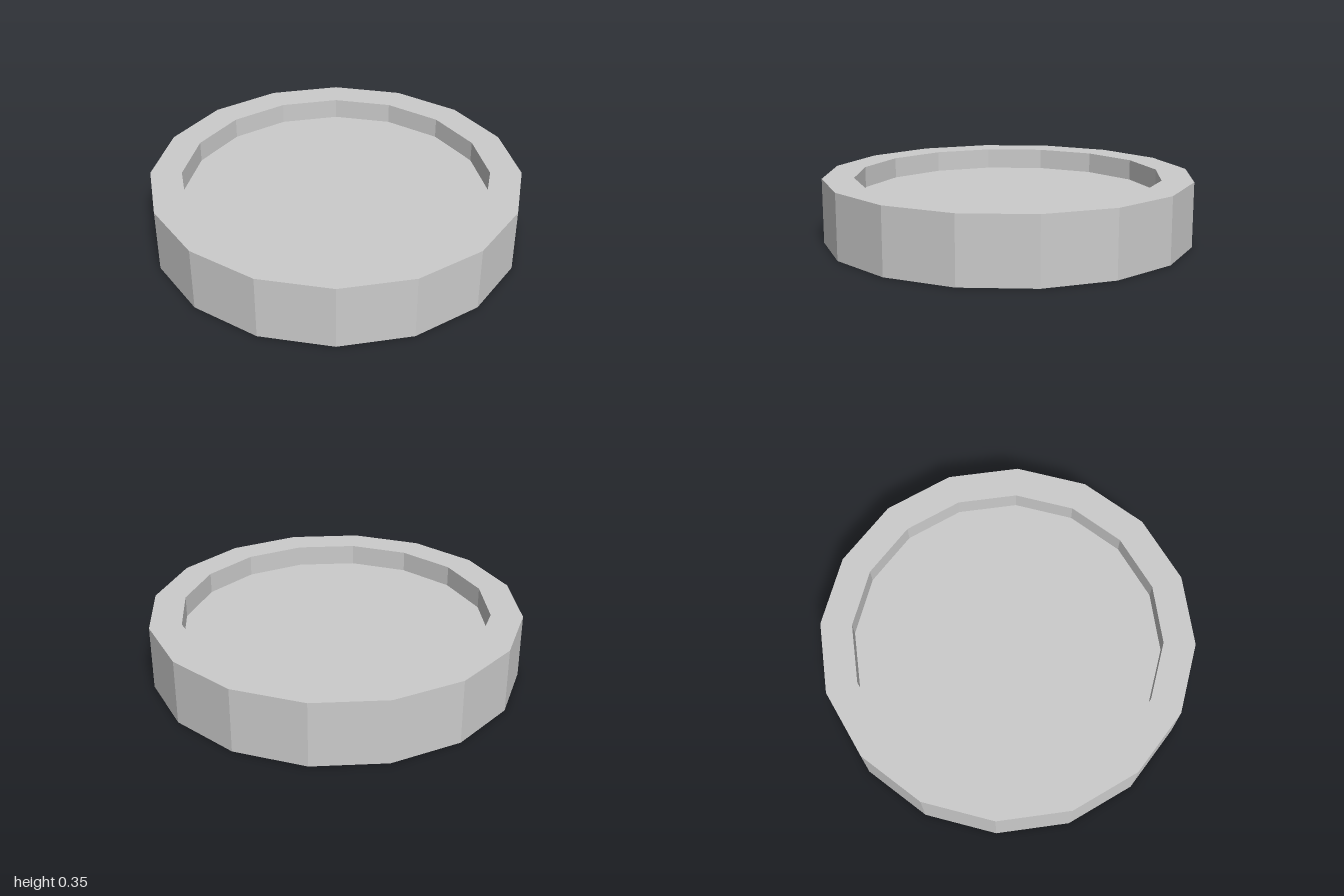
import * as THREE from 'three';

const SIDES = 16;
const HEIGHT = 0.35;
const RECESS = 0.115; // depth of the hollow on both faces
const OUTER = 1;
const INNER = 0.83;

export function createModel() {
  const group = new THREE.Group();
  group.name = 'recessedDisc';
  const material = new THREE.MeshStandardMaterial({ color: 0xcccccc, flatShading: true });

  // Raised rim: closed profile running up the outside and down the inside
  const rimProfile = [
    [INNER, RECESS], [INNER, 0], [OUTER, 0],
    [OUTER, HEIGHT], [INNER, HEIGHT], [INNER, HEIGHT - RECESS],
  ].map(([r, y]) => new THREE.Vector2(r, y));
  const rim = new THREE.Mesh(new THREE.LatheGeometry(rimProfile, SIDES), material);
  rim.name = 'rim';
  group.add(rim);

  // Flat panels closing the hollow above and below
  const addPanel = (name, y, tilt) => {
    const panel = new THREE.Mesh(new THREE.CircleGeometry(INNER, SIDES), material);
    panel.name = name;
    panel.rotation.x = tilt;
    panel.position.y = y;
    group.add(panel);
  };
  addPanel('topPanel', HEIGHT - RECESS, -Math.PI / 2);
  addPanel('bottomPanel', RECESS, Math.PI / 2);

  return group;
}
